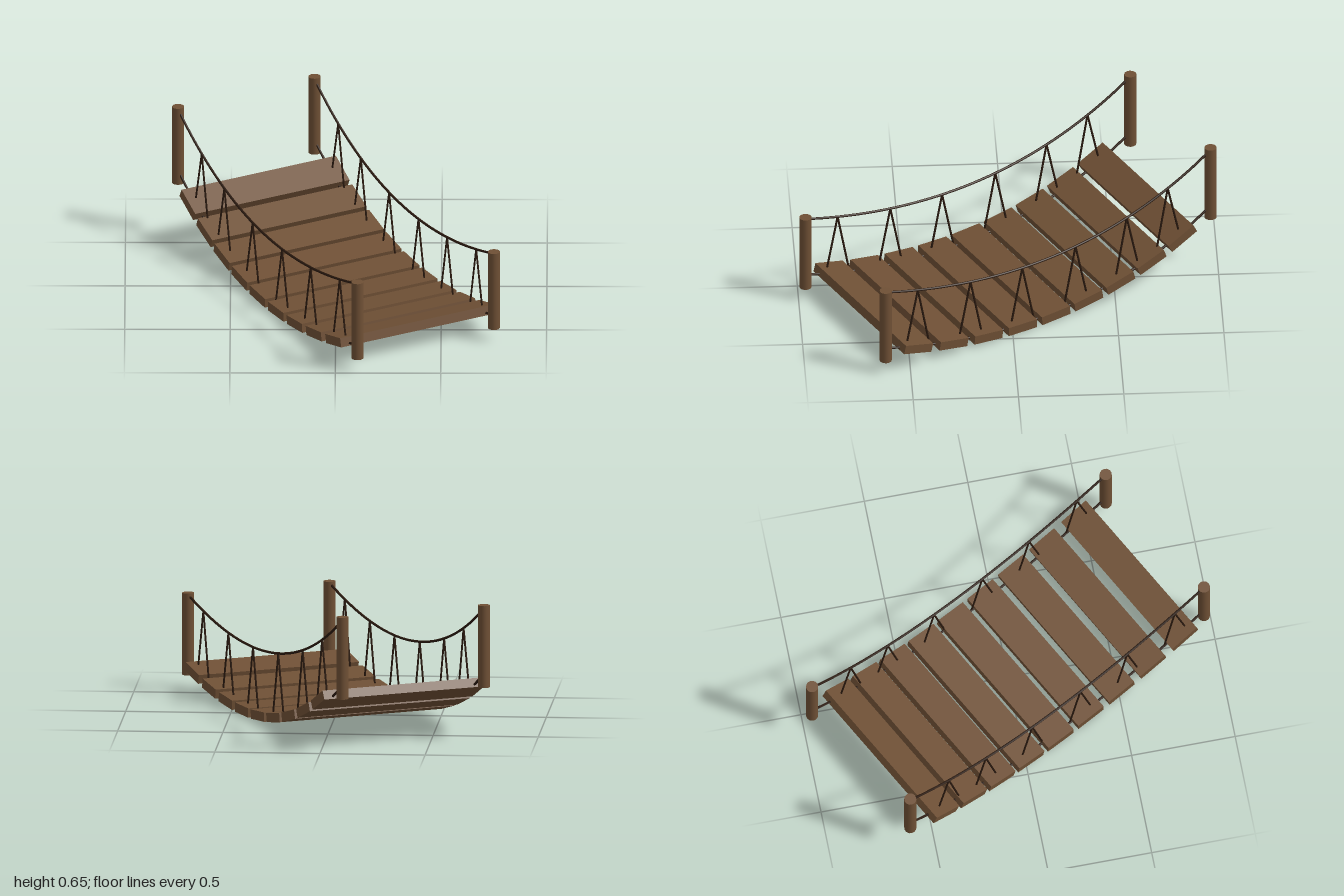
import * as THREE from 'three';

const HALF_SPAN = 0.9;    // posts, along the bridge
const HALF_WIDTH = 0.367; // posts and ropes, across the bridge
const DECK_DROP = 0.305;  // hand rope to deck

// Hand rope: a sagging curve from the high back posts to the low front posts
function ropeY(s) {
  const t = (-1.49 + Math.sqrt(1.49 * 1.49 + 1.24 * (s + HALF_SPAN))) / 0.62;
  return 0.64 - 1.01 * t + 0.82 * t * t;
}

export function createModel() {
  const wood = new THREE.MeshStandardMaterial({ color: 0x6f5035 });
  const twine = new THREE.MeshStandardMaterial({ color: 0x2c1b10 });
  const model = new THREE.Group();
  model.name = 'ropeBridge';
  const add = (name, geometry, material, parent = model) => {
    const mesh = new THREE.Mesh(geometry, material);
    mesh.name = name;
    parent.add(mesh);
    return mesh;
  };

  // Planks, tilted to follow the sag
  const deck = new THREE.Group();
  deck.name = 'deck';
  model.add(deck);
  const plankGeometry = new THREE.BoxGeometry(0.83, 0.045, 0.155);
  for (let k = -4; k <= 4; k++) {
    const s = -0.016 + 0.183 * k + 0.0019 * k * k;
    const slope = (ropeY(s + 0.05) - ropeY(s - 0.05)) / 0.1;
    const plank = add('plank', plankGeometry, wood, deck);
    plank.position.set(0, ropeY(s) - DECK_DROP, s);
    plank.rotation.x = -Math.atan(slope);
  }

  // One sagging rope from post to post
  const rope = (name, x, drop, parent) => {
    const points = [];
    for (let i = 0; i <= 16; i++) {
      const s = HALF_SPAN * (i / 8 - 1);
      points.push(new THREE.Vector3(x, ropeY(s) - drop, s));
    }
    const path = new THREE.CatmullRomCurve3(points);
    add(name, new THREE.TubeGeometry(path, 48, 0.006, 8), twine, parent);
  };

  const postGeometry = new THREE.CylinderGeometry(0.029, 0.029, 0.395, 16);
  for (const side of [-1, 1]) {
    const railing = new THREE.Group();
    railing.name = side > 0 ? 'leftRailing' : 'rightRailing';
    model.add(railing);
    const x = side * HALF_WIDTH;

    // Posts: back pair stands higher than the front pair
    add('backPost', postGeometry, wood, railing).position.set(x, 0.458, -HALF_SPAN);
    add('frontPost', postGeometry, wood, railing).position.set(x, 0.263, HALF_SPAN);

    // Hand rope and deck rope
    rope('handRope', x, 0, railing);
    rope('deckRope', x, DECK_DROP + 0.012, railing);

    // V-shaped hangers between the two ropes
    for (const s of [-0.663, -0.436, -0.152, 0.143, 0.43, 0.722]) {
      for (const lean of [-0.063, 0.063]) {
        const top = new THREE.Vector3(x, ropeY(s), s);
        const foot = new THREE.Vector3(x, ropeY(s + lean) - DECK_DROP, s + lean);
        const line = new THREE.LineCurve3(foot, top);
        add('hanger', new THREE.TubeGeometry(line, 1, 0.005, 6), twine, railing);
      }
    }
  }

  // The bridge runs diagonally across the frame
  model.rotation.y = 0.495;
  return model;
}
